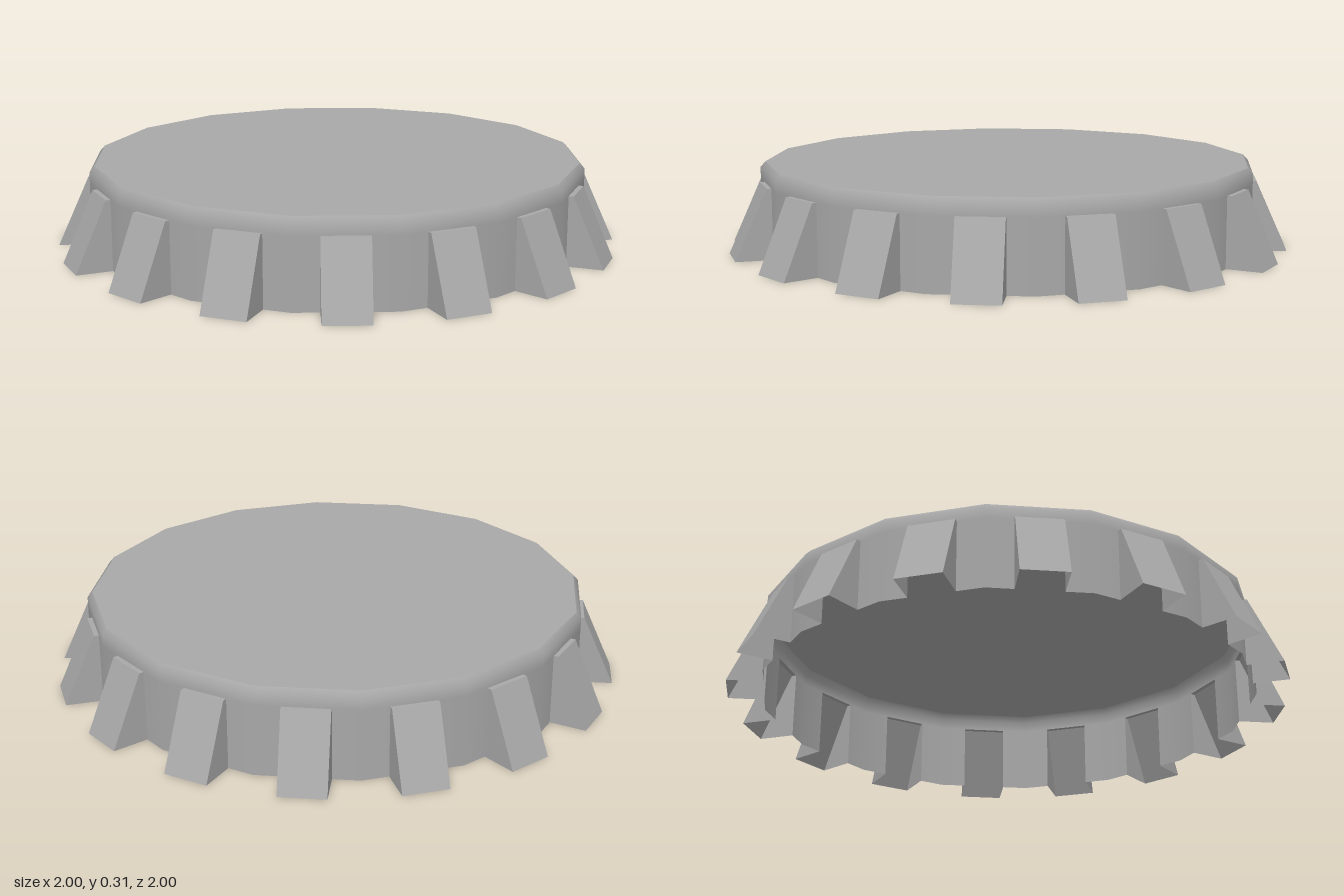
import * as THREE from 'three';

const SIDES = 16;
const RADIUS = 0.89, TOP_RADIUS = 0.872, HEIGHT = 0.31;
const TOOTH_HALF = 0.08, TOOTH_TOP = 0.25;
const HALF_ANGLE = Math.PI / SIDES;
const APOTHEM = RADIUS * Math.cos(HALF_ANGLE);

// Collects quads (corners counter-clockwise from outside), with optional normals
function quadBuilder() {
  const positions = [], normals = [];
  return {
    add(corners, cornerNormals) {
      const [a, b, c] = corners;
      const flat = new THREE.Vector3().crossVectors(b.clone().sub(a), c.clone().sub(a)).normalize();
      for (const i of [0, 1, 2, 0, 2, 3]) {
        positions.push(...corners[i].toArray());
        normals.push(...(cornerNormals ? cornerNormals[i] : flat).toArray());
      }
    },
    build() {
      const g = new THREE.BufferGeometry();
      g.setAttribute('position', new THREE.Float32BufferAttribute(positions, 3));
      g.setAttribute('normal', new THREE.Float32BufferAttribute(normals, 3));
      return g;
    },
  };
}

// One flat side of the skirt, facing +z, with an opening behind the tooth
function skirtSideGeometry() {
  const quads = quadBuilder();
  const half = RADIUS * Math.sin(HALF_ANGLE);
  const columns = [-1, -TOOTH_HALF / half, TOOTH_HALF / half, 1];
  // y, radius scale, upward tilt of the smooth normal
  const rows = [[0, 1, 0], [TOOTH_TOP, 1, 0], [0.29, 1, 0.35], [HEIGHT, TOP_RADIUS / RADIUS, 0.8]];
  const point = (u, [y, s]) => new THREE.Vector3(u * half * s, y, APOTHEM * s);
  const normal = (u, [, , tilt]) =>
    new THREE.Vector3(Math.sin(u * HALF_ANGLE), tilt, Math.cos(u * HALF_ANGLE)).normalize();
  for (let r = 0; r < 3; r++) {
    for (let c = 0; c < 3; c++) {
      if (r === 0 && c === 1) continue; // opening into the hollow tooth
      const ring = [
        [columns[c], rows[r]], [columns[c + 1], rows[r]],
        [columns[c + 1], rows[r + 1]], [columns[c], rows[r + 1]],
      ];
      quads.add(ring.map((p) => point(...p)), ring.map((p) => normal(...p)));
    }
  }
  return quads.build();
}

// Hollow slanted tooth, open at the bottom and towards the inside
function toothGeometry() {
  const quads = quadBuilder();
  const v = (x, y, z) => new THREE.Vector3(x * TOOTH_HALF, y, z);
  const topOut = 0.89, bottomOut = 1.003;
  quads.add([v(-1, 0, bottomOut), v(1, 0, bottomOut), v(1, TOOTH_TOP, topOut), v(-1, TOOTH_TOP, topOut)]);
  quads.add([v(-1, TOOTH_TOP, topOut), v(1, TOOTH_TOP, topOut), v(1, TOOTH_TOP, APOTHEM), v(-1, TOOTH_TOP, APOTHEM)]);
  quads.add([v(1, 0, bottomOut), v(1, 0, APOTHEM), v(1, TOOTH_TOP, APOTHEM), v(1, TOOTH_TOP, topOut)]);
  quads.add([v(-1, 0, APOTHEM), v(-1, 0, bottomOut), v(-1, TOOTH_TOP, topOut), v(-1, TOOTH_TOP, APOTHEM)]);
  return quads.build();
}

export function createModel() {
  const group = new THREE.Group();
  group.name = 'bottleCap';
  const metal = new THREE.MeshStandardMaterial({ color: 0xa8a8a8, side: THREE.DoubleSide });
  metal.name = 'greyMetal';

  // Flat top
  const top = new THREE.Mesh(new THREE.CircleGeometry(TOP_RADIUS, SIDES), metal);
  top.name = 'topPlate';
  top.rotation.x = -Math.PI / 2;
  top.position.y = HEIGHT;
  group.add(top);

  // Skirt sides and teeth around the rim
  const side = skirtSideGeometry(), tooth = toothGeometry();
  for (let i = 0; i < SIDES; i++) {
    for (const [name, geometry] of [['skirtSide', side], ['tooth', tooth]]) {
      const mesh = new THREE.Mesh(geometry, metal);
      mesh.name = name;
      mesh.rotation.y = (2 * i + 1) * HALF_ANGLE;
      group.add(mesh);
    }
  }
  return group;
}
